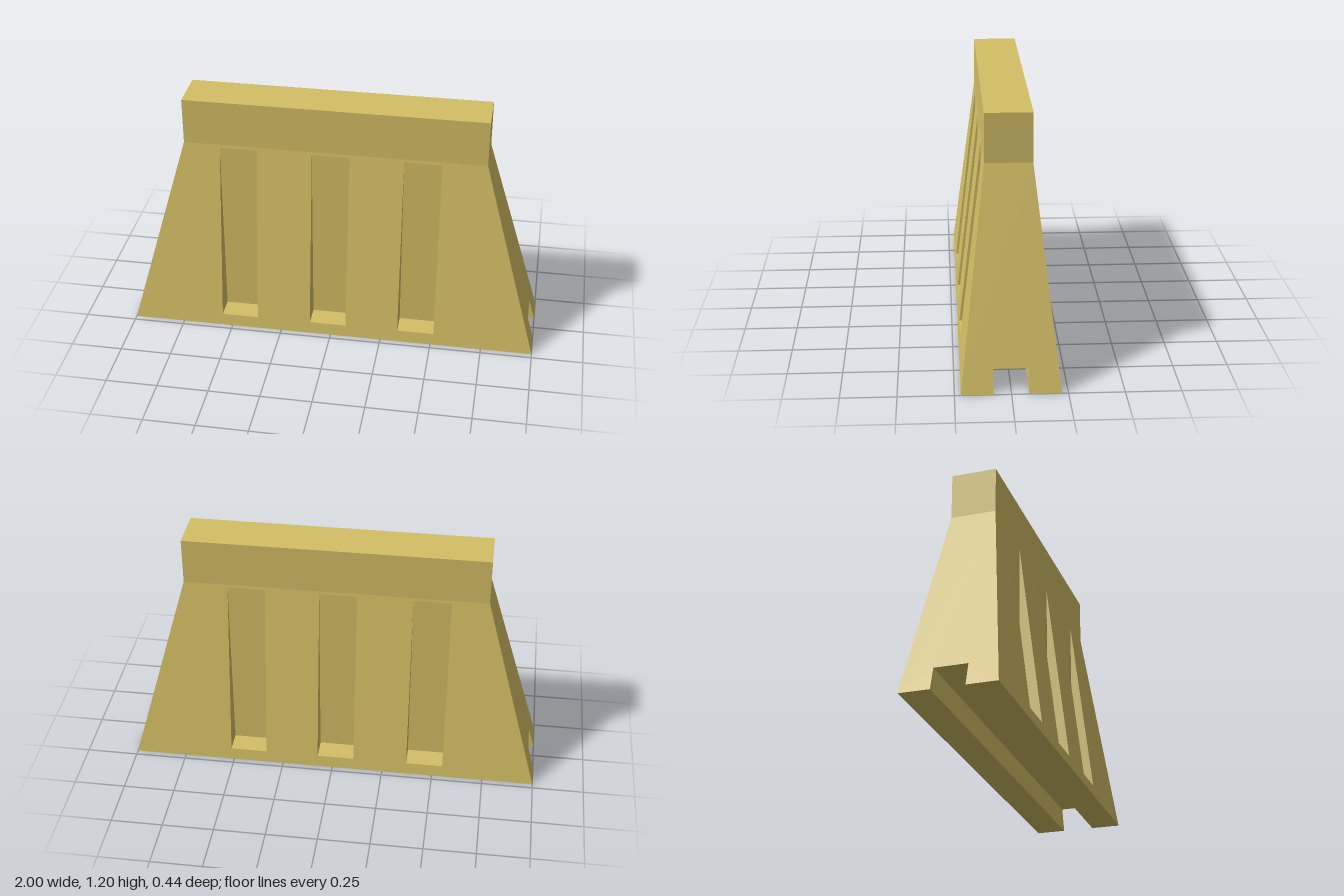
import * as THREE from 'three';
import { mergeGeometries } from 'three/addons/utils/BufferGeometryUtils.js';

const H = 1.2, NECK = 0.975;              // total height, start of the upright top
const BX = 1, BZ = 0.222, TX = 0.725, TZ = 0.107; // half sizes at base and neck
const CZ = 0.078, CY = 0.11;              // drainage channel half width and height
const SLOT_Y0 = 0.06, SLOT_Y1 = 0.96;

// half length and half thickness of the tapered body at height y
const halfX = (y) => BX + (TX - BX) * y / NECK;
const halfZ = (y) => BZ + (TZ - BZ) * y / NECK;

// flat polygon fan, corners counter-clockwise
function face(...pts) {
  const pos = [];
  for (let i = 1; i < pts.length - 1; i++) pos.push(...pts[0], ...pts[i], ...pts[i + 1]);
  const g = new THREE.BufferGeometry();
  g.setAttribute('position', new THREE.Float32BufferAttribute(pos, 3));
  g.computeVertexNormals();
  return g;
}

// flat shape laid onto a sloping plane by a rule (u, v) -> [x, y, z]
function panel(outline, holes, place) {
  const toV = (list) => list.map(([u, v]) => new THREE.Vector2(u, v));
  const shape = new THREE.Shape(toV(outline));
  holes.forEach((h) => shape.holes.push(new THREE.Path(toV(h))));
  const g = new THREE.ShapeGeometry(shape).toNonIndexed();
  g.deleteAttribute('uv');
  const p = g.attributes.position;
  for (let i = 0; i < p.count; i++) p.setXYZ(i, ...place(p.getX(i), p.getY(i)));
  g.computeVertexNormals();
  return g;
}

export function createModel() {
  const group = new THREE.Group();
  const concrete = new THREE.MeshStandardMaterial({ color: 0xd4bf66 });
  concrete.name = 'sandyYellow';
  const add = (name, geometry, turn = 0) => {
    const m = new THREE.Mesh(geometry, concrete);
    m.name = name;
    m.rotation.y = turn;
    group.add(m);
  };

  // upright top beam
  const beam = new THREE.BoxGeometry(TX * 2, H - NECK, TZ * 2);
  beam.translate(0, (H + NECK) / 2, 0);
  add('topBeam', beam);

  for (const [side, s, turn] of [['front', 1, 0], ['back', -1, Math.PI]]) {
    // sloping face with three slot openings
    const slots = [-0.46, -0.015, 0.424].map((c) => [c * s - 0.09, c * s + 0.09]);
    const holes = slots.map(([a, b]) => [[a, SLOT_Y0], [a, SLOT_Y1], [b, SLOT_Y1], [b, SLOT_Y0]]);
    add(side + 'Face', panel([[-BX, 0], [BX, 0], [TX, NECK], [-TX, NECK]], holes,
      (x, y) => [x, y, halfZ(y)]), turn);

    // wedge recesses: upright back, flat sill, triangular cheeks
    const zo = halfZ(SLOT_Y0), zb = halfZ(SLOT_Y1);
    const parts = slots.flatMap(([a, b]) => [
      face([a, SLOT_Y0, zb], [b, SLOT_Y0, zb], [b, SLOT_Y1, zb], [a, SLOT_Y1, zb]),
      face([a, SLOT_Y0, zo], [b, SLOT_Y0, zo], [b, SLOT_Y0, zb], [a, SLOT_Y0, zb]),
      face([a, SLOT_Y0, zo], [a, SLOT_Y0, zb], [a, SLOT_Y1, zb]),
      face([b, SLOT_Y0, zo], [b, SLOT_Y1, zb], [b, SLOT_Y0, zb]),
    ]);
    add(side + 'Slots', mergeGeometries(parts), turn);

    // foot underside and half of the channel
    const cx = halfX(CY);
    add(side + 'FootAndChannel', mergeGeometries([
      face([-BX, 0, BZ], [-BX, 0, CZ], [BX, 0, CZ], [BX, 0, BZ]),
      face([BX, 0, CZ], [-BX, 0, CZ], [-cx, CY, CZ], [cx, CY, CZ]),
      face([-cx, CY, CZ], [-cx, CY, 0], [cx, CY, 0], [cx, CY, CZ]),
    ]), turn);

    // sloping end with the channel mouth
    add(s > 0 ? 'leftEnd' : 'rightEnd', panel([
      [-BZ, 0], [-CZ, 0], [-CZ, CY], [CZ, CY], [CZ, 0], [BZ, 0], [TZ, NECK], [-TZ, NECK],
    ], [], (u, y) => [halfX(y), y, -u]), turn);
  }
  return group;
}
